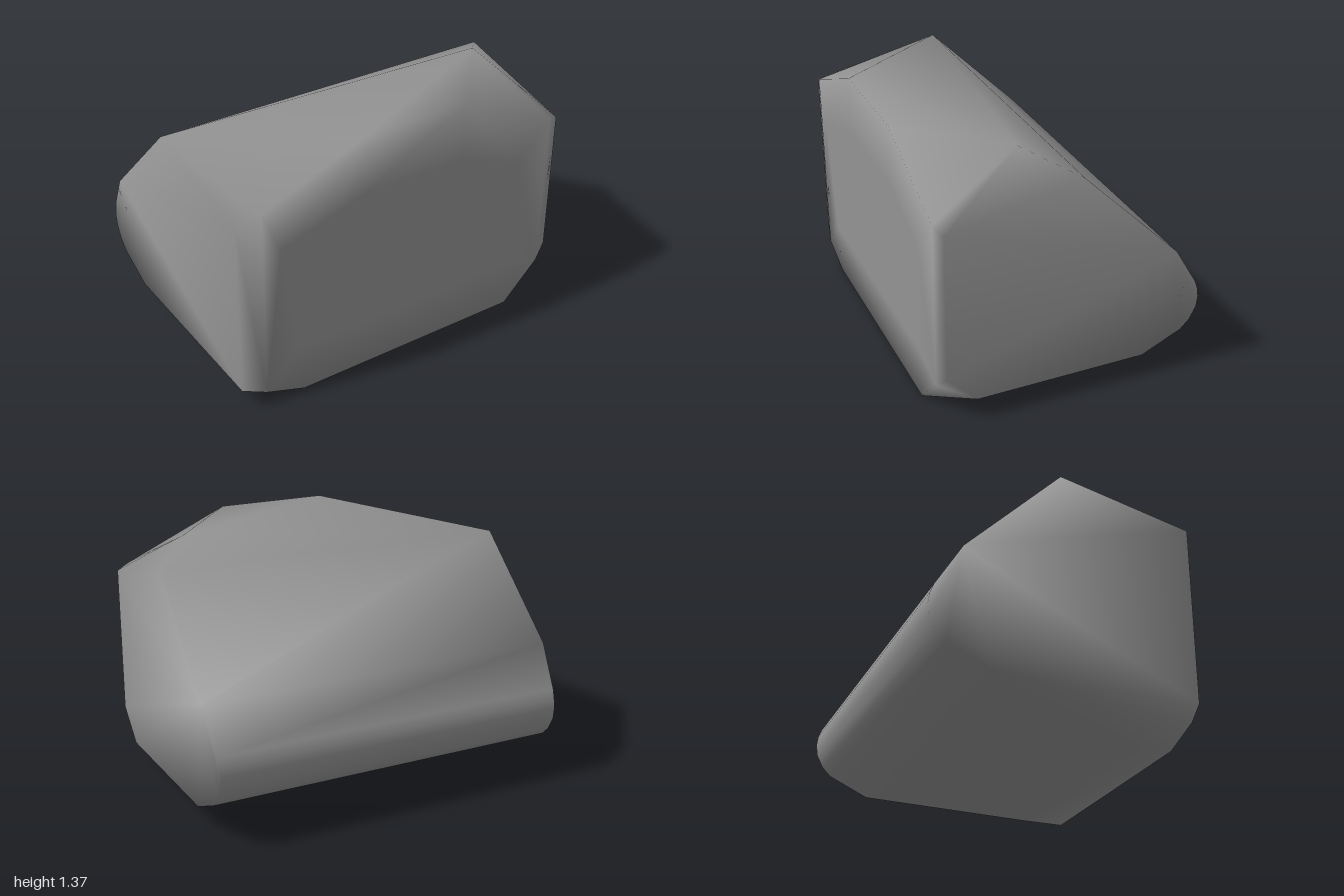
import * as THREE from 'three';
import { ConvexGeometry } from 'three/addons/geometries/ConvexGeometry.js';
import { mergeVertices } from 'three/addons/utils/BufferGeometryUtils.js';

export function createModel() {
  const group = new THREE.Group();
  const points = [];
  const add = (x, y, z) => points.push(new THREE.Vector3(x, y, z));

  // Mirrored side outline, from the upper corner round the nose to the underside: [x, y, z]
  const sideOutline = [
    [0.98, 1.235, -0.03], [1.0, 0.72, -0.55], [0.98, 0.5, -0.685], [0.975, 0.45, -0.705],
    [0.975, 0.4, -0.712], [0.975, 0.34, -0.705], [0.975, 0.27, -0.67], [0.975, 0.22, -0.62],
    [0.975, 0.12, -0.4],
    [0.975, 1.08, 0.68], // upper front corner
  ];
  for (const side of [-1, 1]) for (const [x, y, z] of sideOutline) add(side * x, y, z);

  // Rim of the front face
  const frontRim = [
    [-0.28, 1.365], [0.33, 1.365], [0.9, 1.11], [0.9, 0.21],
    [0.69, 0], [-0.63, 0], [-0.85, 0.075], [-0.85, 1.133],
  ];
  for (const [x, y] of frontRim) add(x, y, 0.709);

  // Flat middle of the front face, raised by a hair so the rim shades softly
  const frontMiddle = [
    [-0.28, 1.05], [0.33, 1.05], [0.7, 0.9], [0.69, 0.28], [-0.65, 0.28], [-0.75, 0.9],
  ];
  for (const [x, y] of frontMiddle) add(x, y, 0.713);

  // Rear edge of the flat base
  add(-0.63, 0, 0.47);
  add(0.69, 0, 0.47);

  // Corners that differ between left and right
  add(0.76, 1.355, 0.22);
  add(0.975, 0.28, 0.68);
  add(0.975, 0.12, 0.52);
  add(-0.975, 0.12, 0.68);

  // Weld the solid and smooth it all round, large faces weighing most
  const hull = new ConvexGeometry(points);
  hull.deleteAttribute('normal');
  const geometry = mergeVertices(hull, 1e-4);
  geometry.computeVertexNormals();

  const body = new THREE.Mesh(geometry, new THREE.MeshStandardMaterial({ color: 0x939393 }));
  body.name = 'facetedBody';
  group.add(body);
  return group;
}
